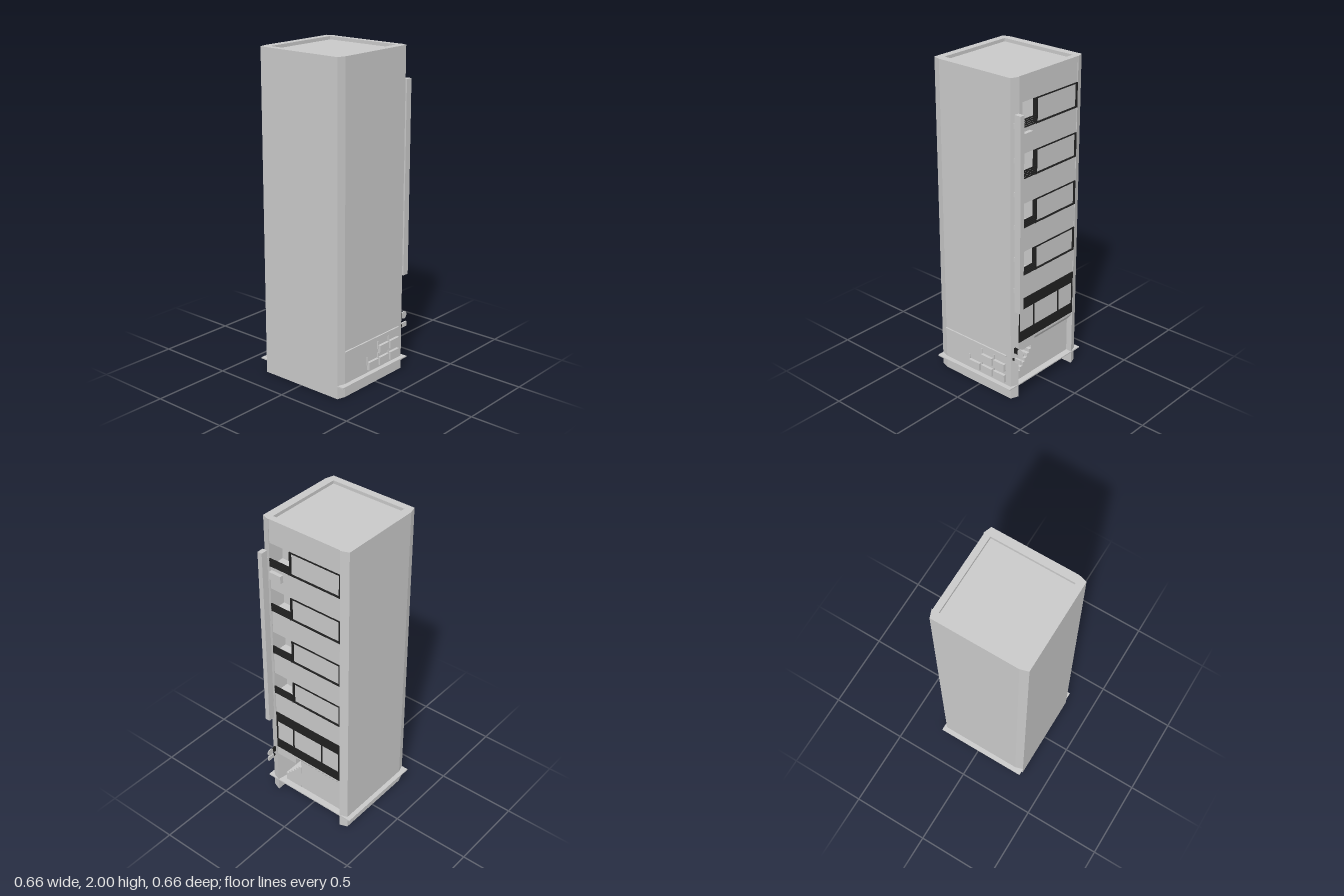
import * as THREE from 'three';

const wallGrey = new THREE.MeshStandardMaterial({ color: 0xc8c8c8 });
wallGrey.name = 'wall grey';
const frameBlack = new THREE.MeshStandardMaterial({ color: 0x202020 });
frameBlack.name = 'frame black';

export function createModel() {
  const model = new THREE.Group();
  model.name = 'officeTower';

  const add = (name, geometry, material = wallGrey) => {
    const mesh = new THREE.Mesh(geometry, material);
    mesh.name = name;
    model.add(mesh);
    return mesh;
  };
  // Box given by its limits on each axis
  const box = (name, x0, x1, y0, y1, z0, z1, material) => {
    const g = new THREE.BoxGeometry(x1 - x0, y1 - y0, z1 - z0);
    g.translate((x0 + x1) / 2, (y0 + y1) / 2, (z0 + z1) / 2);
    return add(name, g, material);
  };
  // Floor plan of [x, z] points raised from y0 to y1
  const toPath = (pts) => pts.map(([x, z]) => new THREE.Vector2(x, -z));
  const storey = (name, plan, y0, y1, hole) => {
    const shape = new THREE.Shape(toPath(plan));
    if (hole) shape.holes.push(new THREE.Path(toPath(hole)));
    const g = new THREE.ExtrudeGeometry(shape, { depth: y1 - y0, bevelEnabled: false });
    g.rotateX(-Math.PI / 2).translate(0, y0, 0);
    return add(name, g);
  };
  // Side outline of [z, y] points extruded from x0 to x1
  const sideProfile = (name, pts, x0, x1) => {
    const shape = new THREE.Shape(pts.map(([z, y]) => new THREE.Vector2(-z, y)));
    const g = new THREE.ExtrudeGeometry(shape, { depth: x1 - x0, bevelEnabled: false });
    g.rotateY(Math.PI / 2).translate(x0, 0, 0);
    return add(name, g);
  };

  // Chamfered footprint; the facade line on +x varies with the storey
  const WALL = 0.263, POST = 0.268;
  const plan = (facade) => [
    [0.25, -0.3], [-0.28, -0.3], [-0.33, -0.285], [-0.33, 0.285], [-0.28, 0.3],
    [0.25, 0.3], [POST, 0.25], ...facade, [POST, -0.25],
  ];
  const flat = plan([[WALL, 0.25], [WALL, -0.25]]);
  const balconyPlan = plan([[0.16, 0.25], [0.16, 0.1], [WALL - 0.005, 0.1], [WALL - 0.005, -0.25]]);
  const lobbyPlan = plan([[0, 0.2], [0, 0.09], [0.228, 0.09], [0.228, -0.25]]);
  const soffitPlan = plan([[WALL, 0.25], [WALL, 0.1], [0.228, 0.1], [0.228, -0.25]]);
  const basePlan = plan([[0.225, 0.25], [-0.285, 0.25], [-0.285, -0.25], [0.225, -0.25]]);
  const roofHole = [[-0.285, -0.25], [0.225, -0.25], [0.225, 0.25], [-0.285, 0.25]];

  // Base, entrance and first floor
  storey('baseWall', basePlan, 0, 0.08);
  box('groundSlab', -0.33, POST, 0.076, 0.084, -0.33, 0.33);
  storey('entranceStorey', lobbyPlan, 0.08, 0.305);
  storey('canopyStorey', soffitPlan, 0.305, 0.35);
  storey('lowerStorey', flat, 0.35, 0.8);

  // Sloped soffit above the entrance
  const wedge = new THREE.Shape([[0.228, 0.305], [WALL, 0.35], [0.228, 0.35]].map((p) => new THREE.Vector2(...p)));
  add('entranceSoffit', new THREE.ExtrudeGeometry(wedge, { depth: 0.35, bevelEnabled: false }).translate(0, 0, -0.25));

  // Stairs beside the entrance
  const steps = [[0.09, 0.058], [0.214, 0.058]];
  const count = 6, run = 0.124 / count, rise = 0.022;
  for (let i = 0; i < count; i++) {
    steps.push([0.214 - i * run, 0.14 + i * rise], [0.214 - (i + 1) * run, 0.14 + i * rise]);
  }
  sideProfile('stairs', steps, 0.03, 0.23);

  // Wide window band with black panels above and below three panes
  const F = 0.268;
  box('windowBandTop', WALL - 0.01, F, 0.58, 0.65, -0.248, 0.248, frameBlack);
  box('windowBandBottom', WALL - 0.01, F, 0.37, 0.436, -0.248, 0.248, frameBlack);
  for (const z of [-0.244, -0.11, 0.112, 0.244]) {
    box('windowMullion', WALL - 0.01, F, 0.43, 0.59, z - 0.004, z + 0.004, frameBlack);
  }

  // Upper storeys: framed window and recessed balcony with railing
  for (let i = 0; i < 4; i++) {
    const y = 0.8 + i * 0.3;
    storey('balconyStorey', balconyPlan, y, y + 0.15);
    storey('spandrelStorey', flat, y + 0.15, i < 3 ? y + 0.3 : 1.98);
    box('windowFrameLeft', WALL - 0.02, F, y, y + 0.15, 0.097, 0.107, frameBlack);
    box('windowFrameRight', WALL - 0.02, F, y, y + 0.15, -0.25, -0.242, frameBlack);
    box('windowFrameBottom', WALL - 0.02, F, y, y + 0.007, -0.25, 0.1, frameBlack);
    box('windowFrameTop', WALL - 0.02, F, y + 0.143, y + 0.15, -0.25, 0.1, frameBlack);
    for (let k = 0; k < 5; k++) {
      const ry = y + 0.003 + k * 0.011;
      box('balconyRail', 0.263, 0.27, ry, ry + 0.006, 0.1, 0.25, frameBlack);
    }
    for (const z of [0.108, 0.246]) {
      box('balconyPost', 0.263, 0.27, y, y + 0.053, z - 0.003, z + 0.003, frameBlack);
    }
  }

  // Roof parapet
  storey('roofParapet', flat, 1.98, 2, roofHole);

  // Wall unit under the top balcony
  box('airConditioner', 0.26, 0.287, 1.63, 1.677, 0.157, 0.24);

  // Tall blade sign on brackets
  box('bladeSign', 0.272, 0.315, 0.6, 1.8, 0.262, 0.293);
  for (let i = 0; i < 6; i++) {
    const y = 0.73 + i * 0.2;
    box('bladeSignBracket', 0.253, 0.273, y - 0.014, y + 0.014, 0.27, 0.284);
  }

  // Small round and square signs
  const disc = new THREE.CylinderGeometry(0.024, 0.024, 0.006, 24).rotateX(Math.PI / 2);
  add('roundSign', disc.translate(0.306, 0.329, 0.275));
  box('roundSignBracket', 0.253, 0.284, 0.312, 0.347, 0.27, 0.28, frameBlack);
  box('squareSign', 0.272, 0.316, 0.258, 0.288, 0.28, 0.29);
  box('squareSignBracket', 0.25, 0.273, 0.265, 0.28, 0.282, 0.288, frameBlack);

  // Conduit and meter boxes on the front
  box('conduit', -0.28, 0.217, 0.28, 0.29, 0.295, 0.31);
  const meters = [[-0.075, 0.102], [0.025, 0.102], [0.125, 0.102], [0.025, 0.177], [0.125, 0.177]];
  for (const [x, y] of meters) {
    box('meterBox', x, x + 0.085, y, y + 0.05, 0.295, 0.318);
    box('meterPipe', x - 0.008, x - 0.002, y + 0.03, y + 0.08, 0.298, 0.307);
  }

  return model;
}
